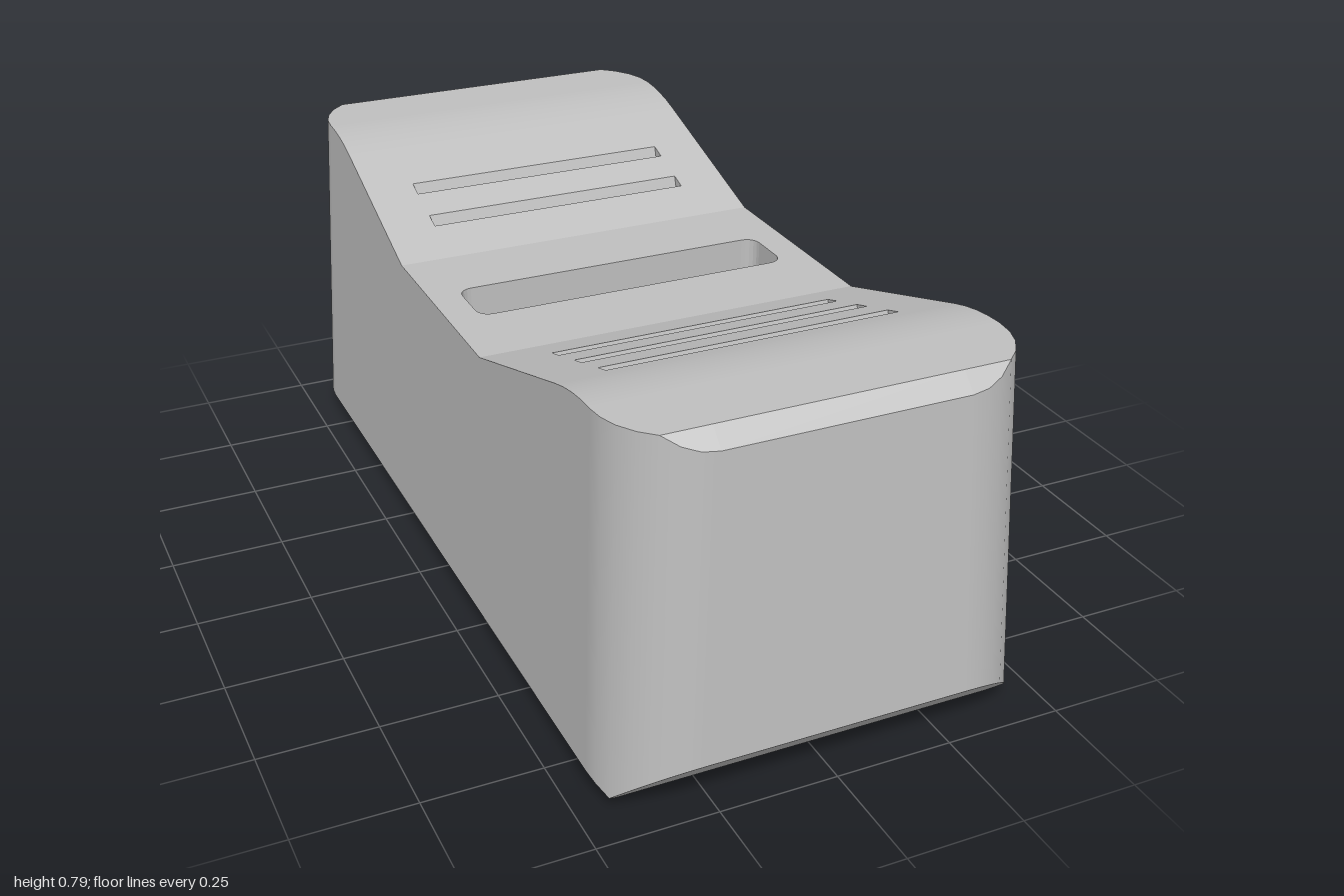
import * as THREE from 'three';

const R = 0.17;                                   // vertical corner radius
const TOP = 0.785, LOW = 0.635, SLOPE = (TOP - LOW) / 0.47;
const FOOT_X = 0.41, FOOT_Z = 0.885, CAP_Z = 0.935, BLEND = 0.075;
const halfX = y => 0.452 - 0.041 * y;             // drafted side walls
const halfZ = y => 1.005 - 0.047 * y;
const clamp = THREE.MathUtils.clamp;
const V = (x, y, z) => new THREE.Vector3(x, y, z);

// Saddle profile: low flat middle, two slopes, softly blended into high ends
function saddle(z) {
  const a = Math.abs(z), e = a - 0.72;
  if (a <= 0.25) return LOW;
  if (e <= -BLEND) return LOW + (a - 0.25) * SLOPE;
  if (e >= BLEND) return TOP;
  return TOP - SLOPE * (BLEND - e) ** 2 / (4 * BLEND);
}

// Perimeter stations, running from +x towards +z
function stations() {
  const angles = [0, 13, 26.06, 40, 53.7, 66, 78, 90];
  const sideZ = [-0.79, -0.755, -0.72, -0.68, -0.645, -0.25, 0.25, 0.645, 0.68, 0.72, 0.755, 0.79];
  const corner = (sx, sz) => angles.map(d => ({ sx, sz, a: THREE.MathUtils.degToRad(d) }));
  const side = sx => sideZ.map(z => ({ sx, z, a: 0, sz: 0 }));
  return [...corner(1, 1), ...corner(-1, 1).reverse(), ...side(-1).reverse(),
    ...corner(-1, -1), ...corner(1, -1).reverse(), ...side(1)];
}

// Wall point of a station where it meets a height rule
function wallPoint(s, rule) {
  let y = 0.4, p;
  for (let i = 0; i < 25; i++) {
    p = V(s.sx * (halfX(y) - R + R * Math.cos(s.a)), y,
      s.z ?? s.sz * (halfZ(y) - R + R * Math.sin(s.a)));
    y = rule(p);
  }
  p.y = y;
  return p;
}

function fromTriangles(points, normals) {
  const g = new THREE.BufferGeometry().setFromPoints(points);
  if (normals) g.setAttribute('normal', new THREE.Float32BufferAttribute(normals.flatMap(n => n.toArray()), 3));
  else g.computeVertexNormals();
  return g;
}

// Closed strip between two loops; swap the loops to face inwards
function strip(lo, up, normals) {
  const pts = [], nrm = [], n = lo.length;
  for (let i = 0; i < n; i++) {
    const j = (i + 1) % n;
    for (const [tri, ids] of [[[lo[j], lo[i], up[i]], [j, i, i]], [[lo[j], up[i], up[j]], [j, i, j]]]) {
      if (new THREE.Triangle(...tri).getArea() < 1e-8) continue;
      pts.push(...tri);
      if (normals) nrm.push(...ids.map(k => normals[k]));
    }
  }
  return fromTriangles(pts, normals && nrm);
}

function fan(loop, faceUp) {
  const pts = [];
  for (let i = 1; i < loop.length - 1; i++) {
    pts.push(loop[0], ...(faceUp ? [loop[i + 1], loop[i]] : [loop[i], loop[i + 1]]));
  }
  return fromTriangles(pts);
}

// Rectangle loop on a height rule, running from +x towards +z
const rectLoop = (x, z0, z1, y) =>
  [[x, z0], [x, z1], [-x, z1], [-x, z0]].map(([px, pz]) => V(px, y(pz), pz));

function roundedLoop(x, z0, z1, r, y) {
  const pts = [];
  for (let q = 0; q < 4; q++) for (let i = 0; i <= 5; i++) {
    const t = (q + i / 5) * Math.PI / 2;
    pts.push(V((q === 0 || q === 3 ? 1 : -1) * (x - r) + r * Math.cos(t), y,
      (q < 2 ? z1 - r : z0 + r) + r * Math.sin(t)));
  }
  return pts;
}

const shapeOf = (outline, holes, sign) => {
  const flat = loop => loop.map(p => new THREE.Vector2(p.x, sign * p.z));
  const shape = new THREE.Shape(flat(outline));
  holes.forEach(h => shape.holes.push(new THREE.Path(flat(h))));
  return new THREE.ShapeGeometry(shape);
};

// One band of the saddle surface between two z values
function topBand(loop, a, b, holes) {
  const outline = loop.filter(p => p.z > a - 1e-4 && p.z < b + 1e-4);
  const g = shapeOf(outline, holes, -1).rotateX(-Math.PI / 2);
  const pos = g.attributes.position, mid = (a + b) / 2;
  for (let i = 0; i < pos.count; i++) {
    const z = pos.getZ(i), zn = z + (mid - z) * 0.01;
    pos.setY(i, saddle(z));
    const d = (saddle(zn + 1e-4) - saddle(zn - 1e-4)) / 2e-4;
    const n = V(0, 1, -d).normalize();
    g.attributes.normal.setXYZ(i, n.x, n.y, n.z);
  }
  return g;
}

export function createModel() {
  const model = new THREE.Group();
  model.name = 'saddleBlock';
  const grey = new THREE.MeshStandardMaterial({ color: 0xbfbfbf });
  grey.name = 'light grey';
  const add = (name, geometry) => {
    const mesh = new THREE.Mesh(geometry, grey);
    mesh.name = name;
    model.add(mesh);
  };

  // Drafted walls with chamfers below and at the high ends
  const ring = stations();
  const bottom = ring.map(s => wallPoint(s, p => Math.max(Math.abs(p.x) - FOOT_X, Math.abs(p.z) - FOOT_Z)));
  const rim = ring.map(s => wallPoint(s, p => Math.min(saddle(p.z), TOP + CAP_Z - Math.abs(p.z))));
  const normals = ring.map(s => V(s.sx * Math.cos(s.a), 0.044, s.sz * Math.sin(s.a)).normalize());
  const foot = bottom.map(p => V(clamp(p.x, -FOOT_X, FOOT_X), 0, clamp(p.z, -FOOT_Z, FOOT_Z)));
  const capEdge = rim.map(p => Math.abs(p.z) > CAP_Z ? V(p.x, TOP, Math.sign(p.z) * CAP_Z) : p);
  add('walls', strip(bottom, rim, normals));
  add('bottomChamfer', strip(foot, bottom));
  add('endChamfers', strip(rim, capEdge));

  // Grooves, all cut along one tilted direction
  const down = V(0, -1, SLOPE).normalize(), along = V(0, SLOPE, 1).normalize();
  const grooves = [-0.51, -0.395, 0.35, 0.465, 0.58].map(z => rectLoop(0.31, z, z + 0.037, saddle));
  grooves.forEach(loop => {
    const width = loop[1].clone().sub(loop[0]).dot(along);
    const floor = loop.map((p, i) => {
      const q = loop[i < 2 ? 0 : 3].clone().addScaledVector(down, 0.062);
      return i === 1 || i === 2 ? q.addScaledVector(along, width) : q;
    });
    add('grooveWalls', strip(floor, loop).clone().copy(strip(loop, floor)));
    add('grooveFloor', fan(floor, true));
  });

  // Cross slot in the middle of the saddle
  const slot = roundedLoop(0.357, -0.074, 0.067, 0.03, LOW);
  const slotFloor = slot.map(p => V(p.x, LOW - 0.2, p.z));
  add('slotWalls', strip(slot, slotFloor));
  add('slotFloor', fan(slotFloor, true));

  // Saddle surface, band by band
  const cuts = [0.25, 0.645, 0.68, 0.72, 0.755, 0.79, CAP_Z];
  add('saddleMiddle', topBand(capEdge, -0.25, 0.25, [slot]));
  for (let i = 0; i < cuts.length - 1; i++) {
    const [a, b] = [cuts[i], cuts[i + 1]];
    add('saddleFront', topBand(capEdge, a, b, i ? [] : grooves.filter(g => g[0].z > 0)));
    add('saddleBack', topBand(capEdge, -b, -a, i ? [] : grooves.filter(g => g[0].z < 0)));
  }

  // Underside with a lengthwise chamfered recess
  const mouth = rectLoop(0.075, -0.37, 0.37, () => 0);
  const throat = rectLoop(0.042, -0.337, 0.337, () => 0.033);
  const roof = rectLoop(0.042, -0.337, 0.337, () => 0.25);
  add('underside', shapeOf(rectLoop(FOOT_X, -FOOT_Z, FOOT_Z, () => 0), [mouth], 1).rotateX(Math.PI / 2));
  add('recessChamfer', strip(throat, mouth));
  add('recessWalls', strip(roof, throat));
  add('recessRoof', fan(roof, false));
  return model;
}
